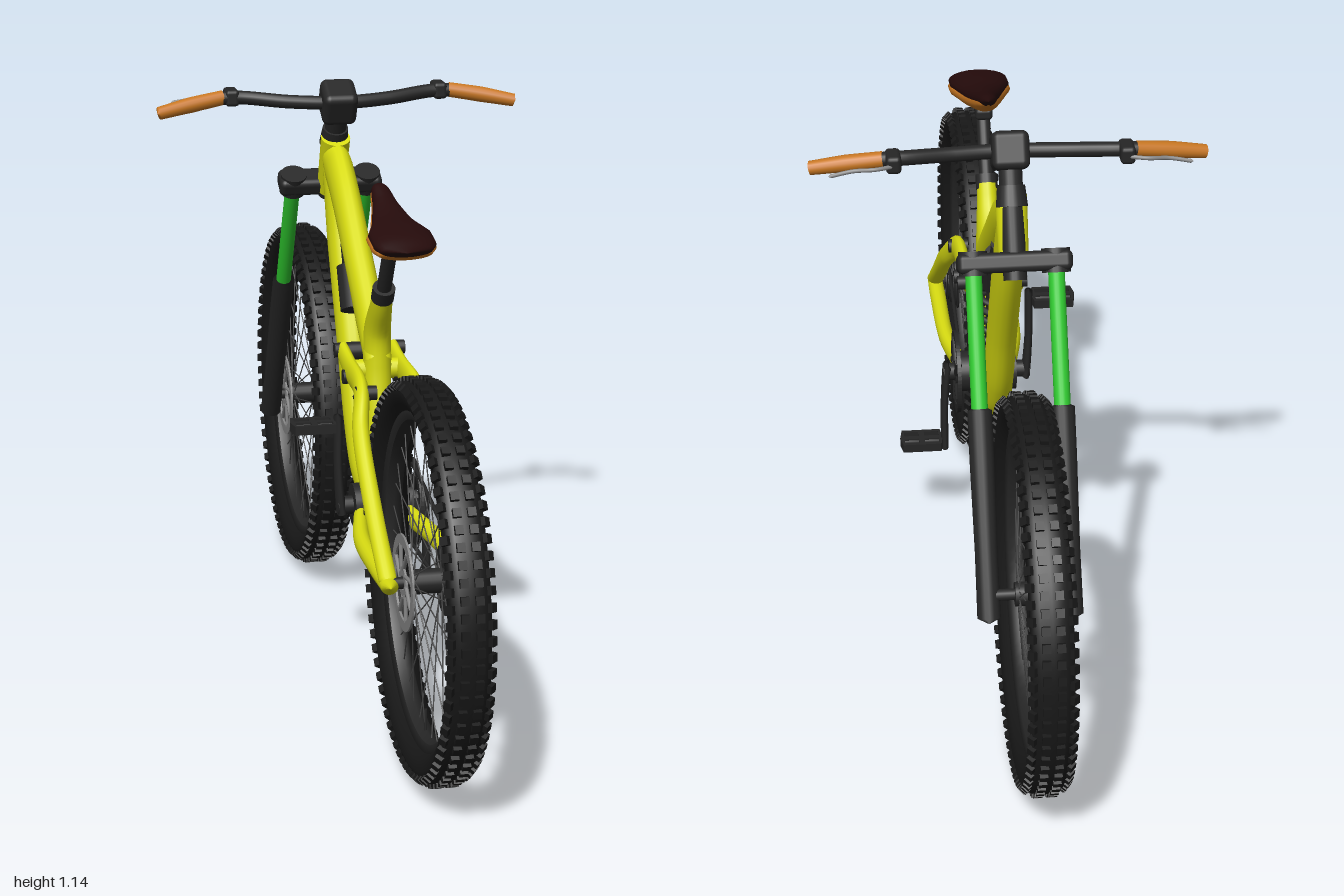
import * as THREE from 'three';
import { mergeGeometries } from 'three/addons/utils/BufferGeometryUtils.js';
import { RoundedBoxGeometry } from 'three/addons/geometries/RoundedBoxGeometry.js';

const mat = (color) => new THREE.MeshStandardMaterial({ color });
const YELLOW = mat(0xd9dd12), BLACK = mat(0x262626), TYRE = mat(0x181818), GREEN = mat(0x2fc92f);
const ORANGE = mat(0xc87722), BROWN = mat(0x250b0b), GREY = mat(0x858585), STEEL = mat(0x4a4a4a);
const V = (p) => new THREE.Vector3(...p);

function add(parent, name, geometry, material, pos = [0, 0, 0]) {
  const m = new THREE.Mesh(geometry, material);
  m.name = name;
  m.position.set(...pos);
  parent.add(m);
  return m;
}

// straight round bar between two points
function rod(a, b, r0, r1 = r0, sides = 16) {
  const A = V(a), B = V(b), d = B.clone().sub(A);
  const g = new THREE.CylinderGeometry(r1, r0, d.length(), sides);
  g.applyQuaternion(new THREE.Quaternion().setFromUnitVectors(new THREE.Vector3(0, 1, 0), d.normalize()));
  return g.translate(...A.add(B).multiplyScalar(0.5).toArray());
}

// curved tube with closed ends; stations are [x, y, z, half width in x, half thickness]
function sweep(stations, seg = 40, sides = 16) {
  const curve = new THREE.CatmullRomCurve3(stations.map((s) => V(s)));
  const g = new THREE.TubeGeometry(curve, seg, 1, sides), p = g.attributes.position, n = g.attributes.normal;
  const v = new THREE.Vector3();
  for (let i = 0; i < p.count; i++) {
    const ring = Math.floor(i / (sides + 1)), u = ring / seg, c = curve.getPointAt(u);
    const t = curve.getUtoTmapping(u) * (stations.length - 1), k = Math.min(Math.floor(t), stations.length - 2);
    const end = ring === 0 || ring === seg ? 0 : 1;
    const w = THREE.MathUtils.lerp(stations[k][3], stations[k + 1][3], t - k);
    const h = THREE.MathUtils.lerp(stations[k][4], stations[k + 1][4], t - k);
    v.fromBufferAttribute(p, i).sub(c);
    p.setXYZ(i, c.x + v.x * w * end, c.y + v.y * h * end, c.z + v.z * h * end);
    v.set(n.getX(i) / w, n.getY(i) / h, n.getZ(i) / h).normalize();
    n.setXYZ(i, v.x, v.y, v.z);
  }
  return g;
}

// flat ring lying across the x axis
function plateRing(outer, inner, depth) {
  const s = new THREE.Shape().absarc(0, 0, outer, 0, Math.PI * 2);
  s.holes.push(new THREE.Path().absarc(0, 0, inner, 0, Math.PI * 2, true));
  return new THREE.ExtrudeGeometry(s, { depth, bevelEnabled: false, curveSegments: 32 })
    .translate(0, 0, -depth / 2).rotateY(Math.PI / 2);
}

// ring with radial arms, used by the rotors and the chainring
function spider(outer, inner, depth, arms, armRadius) {
  const parts = [plateRing(outer, inner, depth).toNonIndexed(), plateRing(outer * 0.33, outer * 0.15, depth).toNonIndexed()];
  for (let i = 0; i < arms; i++) {
    const a = i / arms * Math.PI * 2, b = a + 0.45;
    parts.push(rod([0, Math.cos(a) * outer * 0.28, Math.sin(a) * outer * 0.28],
      [0, Math.cos(b) * inner * 1.03, Math.sin(b) * inner * 1.03], armRadius, armRadius, 6).toNonIndexed());
  }
  return mergeGeometries(parts);
}

function makeWheel(name, z) {
  const w = new THREE.Group();
  w.name = name;
  w.position.set(-0.007, 0.38, z);
  const lathe = (pts) => new THREE.LatheGeometry(pts.map((p) => new THREE.Vector2(...p)), 80).rotateZ(-Math.PI / 2);
  add(w, 'tyre', lathe([[0.312, -0.02], [0.325, -0.032], [0.343, -0.039], [0.357, -0.036], [0.366, -0.022], [0.369, 0],
    [0.366, 0.022], [0.357, 0.036], [0.343, 0.039], [0.325, 0.032], [0.312, 0.02]]), TYRE);
  add(w, 'rim', lathe([[0.296, -0.015], [0.318, -0.022], [0.32, 0], [0.318, 0.022], [0.296, 0.015], [0.291, 0], [0.296, -0.015]]), BLACK);
  const knobs = [], spokes = [];
  for (let i = 0; i < 76; i++) for (const [r, x, tilt] of [[0.358, -0.036, 0.8], [0.369, -0.013, 0], [0.369, 0.013, 0], [0.358, 0.036, -0.8]]) {
    const a = (i + (tilt ? 0.5 : 0)) / 76 * Math.PI * 2;
    knobs.push(new THREE.BoxGeometry(0.015, 0.012, 0.016).rotateZ(tilt).translate(x, r, 0).rotateX(a));
  }
  for (let i = 0; i < 36; i++) {
    const a = i / 36 * Math.PI * 2, b = a + (i % 4 < 2 ? 0.4 : -0.4), x = i % 2 ? 0.025 : -0.025;
    spokes.push(rod([x, Math.cos(b) * 0.022, Math.sin(b) * 0.022], [0, Math.cos(a) * 0.296, Math.sin(a) * 0.296], 0.0013, 0.0013, 5));
  }
  add(w, 'tread', mergeGeometries(knobs), TYRE);
  add(w, 'spokes', mergeGeometries(spokes), STEEL);
  add(w, 'valve', rod([0, -0.295, 0], [0, -0.25, 0], 0.003), BLACK);
  add(w, 'hub', rod([-0.032, 0, 0], [0.032, 0, 0], 0.023), BLACK);
  add(w, 'axle', rod([-0.075, 0, 0], [0.085, 0, 0], 0.011), BLACK);
  add(w, 'brakeRotor', spider(0.09, 0.07, 0.004, 8, 0.004), GREY, [-0.043, 0, 0]);
  return w;
}

export function createModel() {
  const bike = new THREE.Group();
  bike.name = 'mountainBike';
  bike.add(makeWheel('frontWheel', -0.625), makeWheel('rearWheel', 0.625));

  // main frame
  const X = -0.003;
  add(bike, 'topTube', sweep([[X, 0.985, -0.285, 0.026, 0.03], [X, 0.965, -0.235, 0.028, 0.05], [X, 0.92, -0.155, 0.028, 0.046],
    [X, 0.82, -0.02, 0.028, 0.04], [X, 0.735, 0.09, 0.028, 0.042], [X, 0.69, 0.15, 0.028, 0.035], [X, 0.66, 0.175, 0.026, 0.02]]), YELLOW);
  add(bike, 'downTube', sweep([[X, 0.98, -0.275, 0.026, 0.036], [X, 0.91, -0.24, 0.028, 0.046], [X, 0.82, -0.197, 0.03, 0.043],
    [X, 0.65, -0.105, 0.03, 0.043], [X, 0.5, -0.03, 0.03, 0.042], [X, 0.425, 0.03, 0.03, 0.042],
    [X, 0.395, 0.11, 0.03, 0.036], [X, 0.39, 0.21, 0.03, 0.03]]), YELLOW);
  add(bike, 'headTube', rod([X, 0.905, -0.325], [X, 1.025, -0.267], 0.028, 0.03, 24), YELLOW);
  add(bike, 'seatTube', sweep([[X, 0.825, 0.215, 0.02, 0.022], [X, 0.79, 0.195, 0.021, 0.024], [X, 0.73, 0.16, 0.026, 0.036],
    [X, 0.66, 0.155, 0.028, 0.032], [X, 0.55, 0.17, 0.026, 0.028], [X, 0.39, 0.195, 0.028, 0.03]]), YELLOW);
  add(bike, 'bottomBracket', rod([-0.06, 0.39, 0.195], [0.055, 0.39, 0.195], 0.042, 0.042, 24), BLACK);

  // rear swingarm, mirrored
  for (const s of [-1, 1]) {
    add(bike, 'seatStay', sweep([[s * 0.05 + X, 0.668, 0.05, 0.012, 0.02], [s * 0.05 + X, 0.65, 0.14, 0.013, 0.027], [s * 0.054 + X, 0.64, 0.27, 0.014, 0.026],
      [s * 0.07 + X, 0.585, 0.345, 0.016, 0.022], [s * 0.075 + X, 0.475, 0.49, 0.017, 0.019], [s * 0.075 + X, 0.375, 0.635, 0.017, 0.016]]), YELLOW);
    add(bike, 'chainStay', sweep([[s * 0.075 + X, 0.378, 0.65, 0.016, 0.014], [s * 0.075 + X, 0.376, 0.55, 0.017, 0.017],
      [s * 0.07 + X, 0.372, 0.36, 0.016, 0.018], [s * 0.045 + X, 0.375, 0.22, 0.014, 0.022]]), YELLOW);
    for (const [y, z] of [[0.668, 0.065], [0.637, 0.15], [0.64, 0.28]])
      add(bike, 'pivotBolt', rod([s * 0.03, y, z], [s * 0.07, y, z], 0.014), BLACK);
  }
  add(bike, 'linkBridge', rod([-0.05, 0.65, 0.15], [0.045, 0.65, 0.15], 0.02), YELLOW);

  // coil shock and its reservoir
  const lo = V([X, 0.44, 0.12]), hi = V([X, 0.66, 0.068]);
  add(bike, 'shockBody', rod(lo.toArray(), hi.toArray(), 0.014), BLACK);
  const coil = new THREE.CatmullRomCurve3(Array.from({ length: 85 }, (_, i) => {
    const a = i / 12 * Math.PI * 2, c = lo.clone().lerp(hi, 0.1 + 0.8 * i / 84);
    return c.add(new THREE.Vector3(Math.cos(a) * 0.028, Math.sin(a) * 0.007, Math.sin(a) * 0.028));
  }));
  add(bike, 'shockSpring', new THREE.TubeGeometry(coil, 220, 0.0065, 8), BLACK);
  add(bike, 'shockMount', rod([-0.045, 0.665, 0.067], [0.04, 0.665, 0.067], 0.018), BLACK);
  add(bike, 'reservoir', rod([X, 0.72, -0.04], [X, 0.80, -0.082], 0.034, 0.034, 20), BLACK);
  add(bike, 'reservoirCap', rod([X, 0.795, -0.08], [X, 0.84, -0.103], 0.022), BLACK);

  // fork: axis leans back by a fixed slope
  const onSteer = (x, y) => [x, y, -0.334 + (y - 0.92) * 0.528];
  add(bike, 'steerer', rod(onSteer(X, 0.89), onSteer(X, 1.09), 0.022, 0.022, 20), BLACK);
  add(bike, 'headCup', rod(onSteer(X, 1.01), onSteer(X, 1.045), 0.03, 0.026, 20), BLACK);
  add(bike, 'forkCrown', new RoundedBoxGeometry(0.214, 0.038, 0.055, 3, 0.012), BLACK, onSteer(X, 0.92)).rotation.x = 0.485;
  for (const s of [-1, 1]) {
    const x = s * 0.077 + X;
    add(bike, 'stanchion', rod(onSteer(x, 0.67), onSteer(x, 0.925), 0.0155, 0.0155, 20), GREEN);
    add(bike, 'crownClamp', rod(onSteer(x, 0.9), onSteer(x, 0.94), 0.027, 0.027, 20), BLACK);
    add(bike, 'forkLower', sweep([[...onSteer(x, 0.69), 0.023, 0.022], [...onSteer(x, 0.6), 0.023, 0.022],
      [...onSteer(x, 0.45), 0.021, 0.02], [...onSteer(x, 0.33), 0.022, 0.021]], 36), BLACK);
  }

  // cockpit
  add(bike, 'stemClamp', new RoundedBoxGeometry(0.07, 0.072, 0.075, 3, 0.014), BLACK, [X, 1.103, -0.24]).rotation.x = 0.485;
  add(bike, 'handlebar', sweep([[-0.25, 1.112, -0.275], [-0.2, 1.113, -0.274], [-0.1, 1.105, -0.25], [0, 1.102, -0.238],
    [0.1, 1.105, -0.25], [0.2, 1.113, -0.274], [0.25, 1.112, -0.275]].map((p) => [...p, 0.014, 0.014])), BLACK);
  for (const s of [-1, 1]) {
    add(bike, 'grip', sweep([[s * 0.23, 1.114, -0.277, 0.015, 0.015], [s * 0.3, 1.103, -0.265, 0.016, 0.016],
      [s * 0.37, 1.09, -0.252, 0.014, 0.013]]), ORANGE);
    add(bike, 'leverPerch', new RoundedBoxGeometry(0.028, 0.034, 0.05, 2, 0.008), BLACK, [s * 0.215, 1.113, -0.285]);
    add(bike, 'brakeLever', sweep([[s * 0.215, 1.112, -0.305], [s * 0.25, 1.112, -0.316], [s * 0.29, 1.107, -0.308],
      [s * 0.335, 1.1, -0.312]].map((p) => [...p, 0.004, 0.004]), 24, 8), GREY);
  }

  // saddle
  add(bike, 'seatPost', rod([X, 0.78, 0.19], [X, 0.945, 0.295], 0.014), BLACK);
  add(bike, 'seatClamp', rod([X, 0.805, 0.205], [X, 0.83, 0.221], 0.022), BLACK);
  add(bike, 'saddleRail', new RoundedBoxGeometry(0.035, 0.025, 0.08, 2, 0.008), BLACK, [X, 0.945, 0.295]);
  const seat = (dy, grow) => sweep([[0.432, 0.947, 0.045, 0.012], [0.41, 0.956, 0.06, 0.02], [0.36, 0.965, 0.06, 0.021],
    [0.3, 0.973, 0.04, 0.02], [0.23, 0.993, 0.024, 0.018], [0.18, 1.012, 0.017, 0.012], [0.165, 1.016, 0.01, 0.008]]
    .map(([z, y, w, h]) => [X, y + dy, z, w + grow, h]), 40, 20);
  add(bike, 'saddleTop', seat(0, 0), BROWN);
  add(bike, 'saddleTrim', seat(-0.008, 0.002).scale(1, 1, 0.95).translate(0, 0, 0.011), ORANGE);

  // drivetrain
  add(bike, 'chainring', spider(0.086, 0.07, 0.008, 5, 0.008), BLACK, [0.062, 0.39, 0.195]);
  for (let i = 0; i < 7; i++)
    add(bike, 'sprocket', rod([0.024 + i * 0.005, 0.38, 0.625], [0.027 + i * 0.005, 0.38, 0.625], 0.066 - i * 0.005, 0.066 - i * 0.005, 28), BLACK);
  const cx = 0.058;
  add(bike, 'chainTop', rod([0.045, 0.435, 0.61], [cx, 0.472, 0.21], 0.004, 0.004, 6), BLACK);
  add(bike, 'chainBottom', rod([cx, 0.308, 0.57], [cx, 0.306, 0.2], 0.004, 0.004, 6), BLACK);
  add(bike, 'derailleurCage', rod([cx + 0.008, 0.375, 0.62], [cx + 0.008, 0.318, 0.575], 0.011), BLACK);
  for (const [y, z] of [[0.355, 0.605], [0.32, 0.575]])
    add(bike, 'jockeyWheel', rod([cx - 0.006, y, z], [cx + 0.01, y, z], 0.016), BLACK);

  // cranks and platform pedals
  const plate = new THREE.Shape([[-0.04, -0.03], [0.04, -0.03], [0.045, 0], [0.04, 0.03], [-0.04, 0.03], [-0.045, 0]].map((p) => new THREE.Vector2(...p)));
  for (const [x, y] of [[-0.021, -0.022], [0.021, -0.022], [0.021, 0.006], [-0.021, 0.006]])
    plate.holes.push(new THREE.Path([[-0.015, 0], [-0.015, 0.016], [0.015, 0.016], [0.015, 0]].map((p) => new THREE.Vector2(p[0] + x, p[1] + y))));
  const pedal = new THREE.ExtrudeGeometry(plate, { depth: 0.018, bevelEnabled: false }).translate(0, 0, -0.009).rotateX(-Math.PI / 2);
  for (const s of [-1, 1]) {
    const y = 0.39 - s * 0.165;
    add(bike, 'crankArm', sweep([[s * 0.08, 0.39 + s * 0.02, 0.195, 0.009, 0.02], [s * 0.083, 0.39, 0.195, 0.009, 0.022],
      [s * 0.088, 0.39 - s * 0.08, 0.195, 0.008, 0.016], [s * 0.088, y, 0.195, 0.008, 0.018], [s * 0.088, y - s * 0.022, 0.195, 0.008, 0.014]]), BLACK);
    add(bike, 'crankAxle', rod([s * 0.03, 0.39, 0.195], [s * 0.09, 0.39, 0.195], 0.018), BLACK);
    add(bike, 'pedalAxle', rod([s * 0.085, y, 0.195], [s * 0.175, y, 0.195], 0.008), BLACK);
    add(bike, 'pedal', pedal, BLACK, [s * 0.137, y, 0.195]);
  }
  return bike;
}
